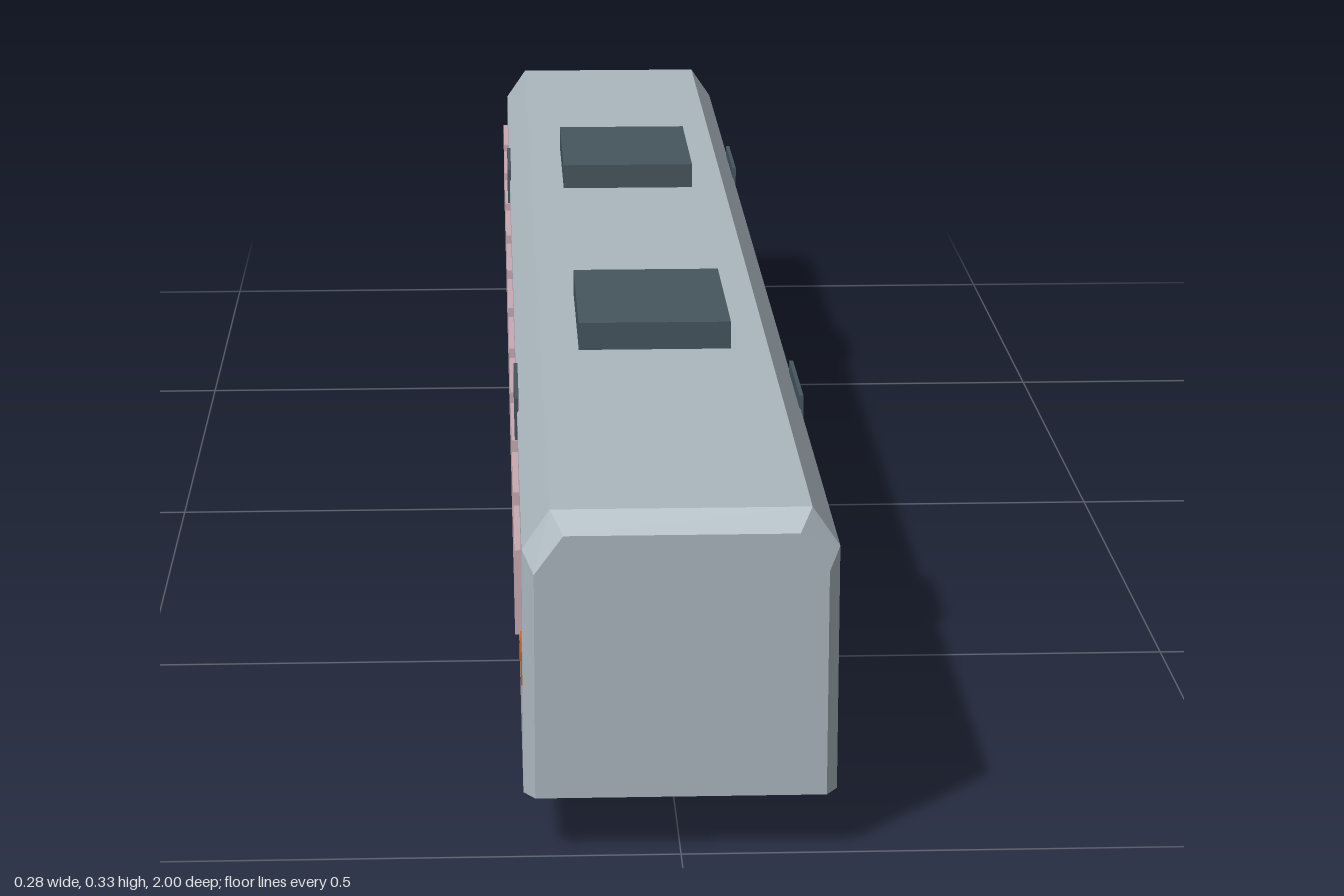
import * as THREE from 'three';

const mat = (name, color) => {
  const m = new THREE.MeshStandardMaterial({ color });
  m.name = name;
  return m;
};

export function createModel() {
  const shell = mat('silver shell', 0xaab6be);
  const dark = mat('dark slate', 0x46555e);
  const orange = mat('orange stripe', 0xca652b);
  const glass = mat('pink glass', 0xc9a8b1);

  const train = new THREE.Group();
  train.name = 'railCarriage';

  // Box given by its minimum and maximum corners
  const box = (name, material, [x0, y0, z0], [x1, y1, z1]) => {
    const mesh = new THREE.Mesh(new THREE.BoxGeometry(x1 - x0, y1 - y0, z1 - z0), material);
    mesh.position.set((x0 + x1) / 2, (y0 + y1) / 2, (z0 + z1) / 2);
    mesh.name = name;
    train.add(mesh);
  };

  // Body: six-sided cross-sections with bevelled ends, [z, half width, shoulder y, half roof, roof y]
  const bottom = 0.053;
  const sections = [
    [-1, 0.124, 0.254, 0.1, 0.288],
    [-0.971, 0.135, 0.272, 0.111, 0.307],
    [0.985, 0.135, 0.272, 0.111, 0.307],
    [1, 0.125, 0.254, 0.1, 0.288],
  ].map(([z, w, s, r, t]) =>
    [[w, bottom], [w, s], [r, t], [-r, t], [-w, s], [-w, bottom]].map(([x, y]) => [x, y, z]));
  const skin = [];
  const floor = [];
  for (let i = 0; i < 3; i++) {
    for (let k = 0; k < 6; k++) {
      const n = (k + 1) % 6;
      const [a, b, c, d] = [sections[i][k], sections[i][n], sections[i + 1][n], sections[i + 1][k]];
      (k === 5 ? floor : skin).push(...a, ...b, ...c, ...a, ...c, ...d);
    }
  }
  for (let k = 1; k < 5; k++) {
    const [back, front] = [sections[0], sections[3]];
    skin.push(...back[0], ...back[k + 1], ...back[k], ...front[0], ...front[k], ...front[k + 1]);
  }
  const bodyPart = (name, points, material) => {
    const geo = new THREE.BufferGeometry();
    geo.setAttribute('position', new THREE.Float32BufferAttribute(points, 3));
    geo.computeVertexNormals();
    const mesh = new THREE.Mesh(geo, material);
    mesh.name = name;
    train.add(mesh);
  };
  bodyPart('body', skin, shell);
  bodyPart('floor', floor, dark);

  // Bogies below and equipment boxes on the roof
  for (const z of [0.622, -0.622]) box('bogie', dark, [-0.113, 0, z - 0.145], [0.113, 0.0535, z + 0.145]);
  for (const z of [0.36, -0.36]) box('roofUnit', dark, [-0.074, 0.306, z - 0.108], [0.074, 0.334, z + 0.108]);

  // Stripe, doors and windows on both sides
  const plate = (name, material, side, out, y0, y1, z0, z1) => {
    const inner = 0.1335;
    box(name, material,
      [side > 0 ? inner : -out, y0, z0],
      [side > 0 ? out : -inner, y1, z1]);
  };
  const pitch = 0.169;
  for (const side of [1, -1]) {
    plate('stripe', orange, side, 0.1362, 0.141, 0.171, -0.964, 0.96);
    for (let i = -5; i <= 5; i++) {
      const z = -0.006 + i * pitch;
      plate('window', glass, side, 0.1405, 0.168, 0.245, z - 0.065, z + 0.065);
      if (Math.abs(i) === 3) plate('door', dark, side, 0.1374, 0.055, 0.286, z - 0.064, z + 0.064);
    }
  }
  return train;
}
